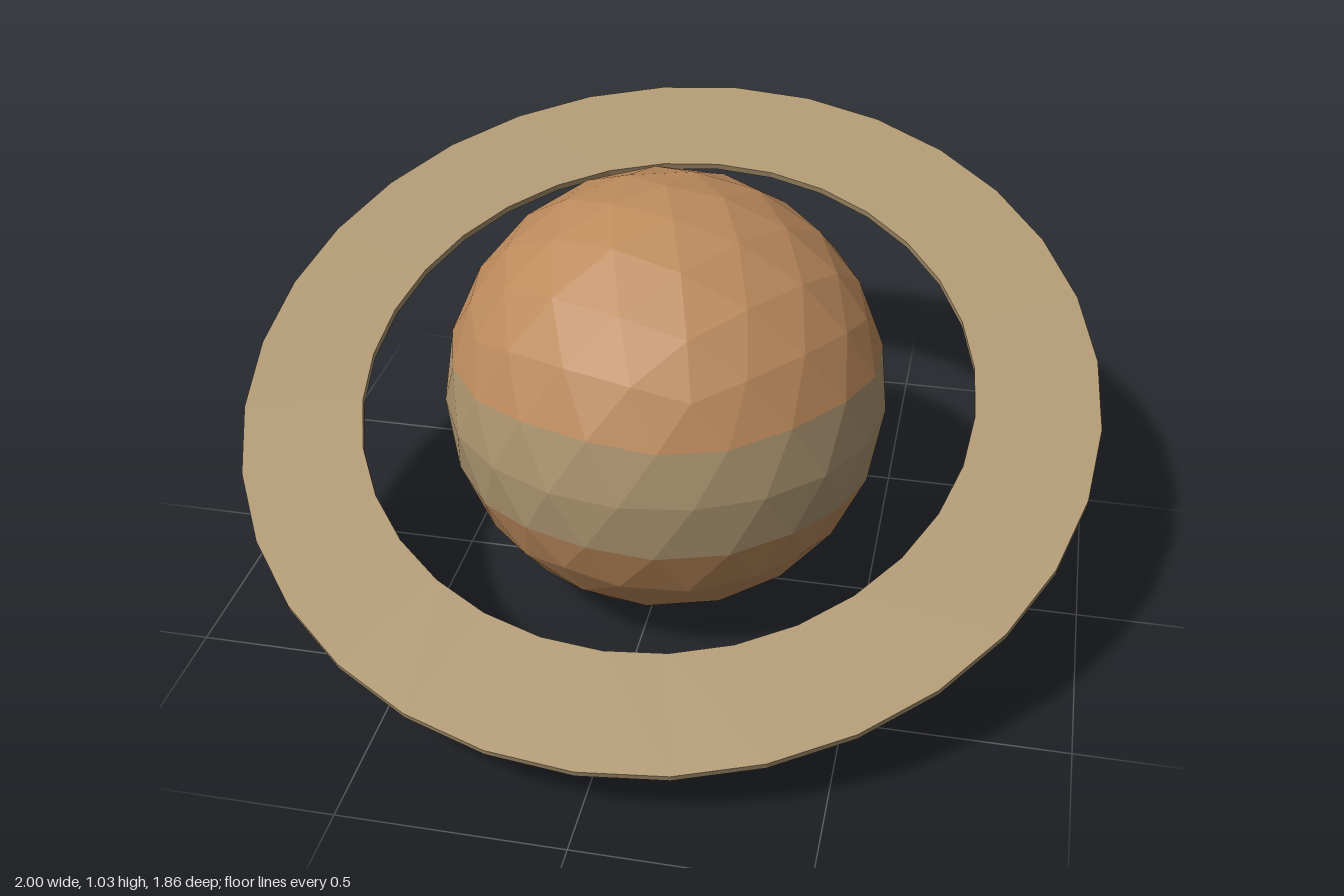
import * as THREE from 'three';

const R = 0.514; // planet radius, also its centre height

// Icosahedron standing on a point, each edge split in four and pushed out to the sphere
function facetedBall() {
  const verts = [0, 1, 0, 0, -1, 0], faces = [];
  const ringY = 1 / Math.sqrt(5), ringR = 2 / Math.sqrt(5);
  for (let i = 0; i < 5; i++) {
    const a = (i * 2 * Math.PI) / 5, b = a + Math.PI / 5;
    verts.push(ringR * Math.cos(a), ringY, -ringR * Math.sin(a));
    verts.push(ringR * Math.cos(b), -ringY, -ringR * Math.sin(b));
    const j = (i + 1) % 5;
    const u = 2 + 2 * i, l = u + 1, u2 = 2 + 2 * j, l2 = u2 + 1;
    faces.push(0, u, u2, u, l, u2, l, l2, u2, 1, l2, l);
  }
  return new THREE.PolyhedronGeometry(verts, faces, R, 3);
}

// Keep the triangles whose mean height passes the test
function pickFaces(geometry, test) {
  const p = geometry.attributes.position.array, kept = [];
  for (let i = 0; i < p.length; i += 9) {
    if (test((p[i + 1] + p[i + 4] + p[i + 7]) / 3)) kept.push(...p.slice(i, i + 9));
  }
  const g = new THREE.BufferGeometry();
  g.setAttribute('position', new THREE.Float32BufferAttribute(kept, 3));
  g.computeVertexNormals();
  return g;
}

export function createModel() {
  const make = (name, color) => {
    const m = new THREE.MeshStandardMaterial({ color, flatShading: true });
    m.name = name;
    return m;
  };
  const orange = make('warm orange', 0xbc8a5c);
  const sand = make('sand', 0xad9570);

  const model = new THREE.Group();
  model.name = 'ringedPlanet';
  const add = (name, geometry, material) => {
    const mesh = new THREE.Mesh(geometry, material);
    mesh.name = name;
    mesh.position.y = R;
    model.add(mesh);
    return mesh;
  };

  // Planet: orange caps and a sand belt two facet rows high
  const ball = facetedBall();
  const inBelt = (y) => Math.abs(y) < 0.22 * R;
  add('planetCaps', pickFaces(ball, (y) => !inBelt(y)), orange);
  add('planetBelt', pickFaces(ball, inBelt), sand);

  // Flat ring, tipped down towards the front
  const h = 0.009, inner = 0.717;
  const profile = [[1, -h], [1, h], [inner, h], [inner, -h], [1, -h]].map(([x, y]) => new THREE.Vector2(x, y));
  const ring = add('ring', new THREE.LatheGeometry(profile, 32), sand);
  ring.rotation.x = THREE.MathUtils.degToRad(22);

  return model;
}
